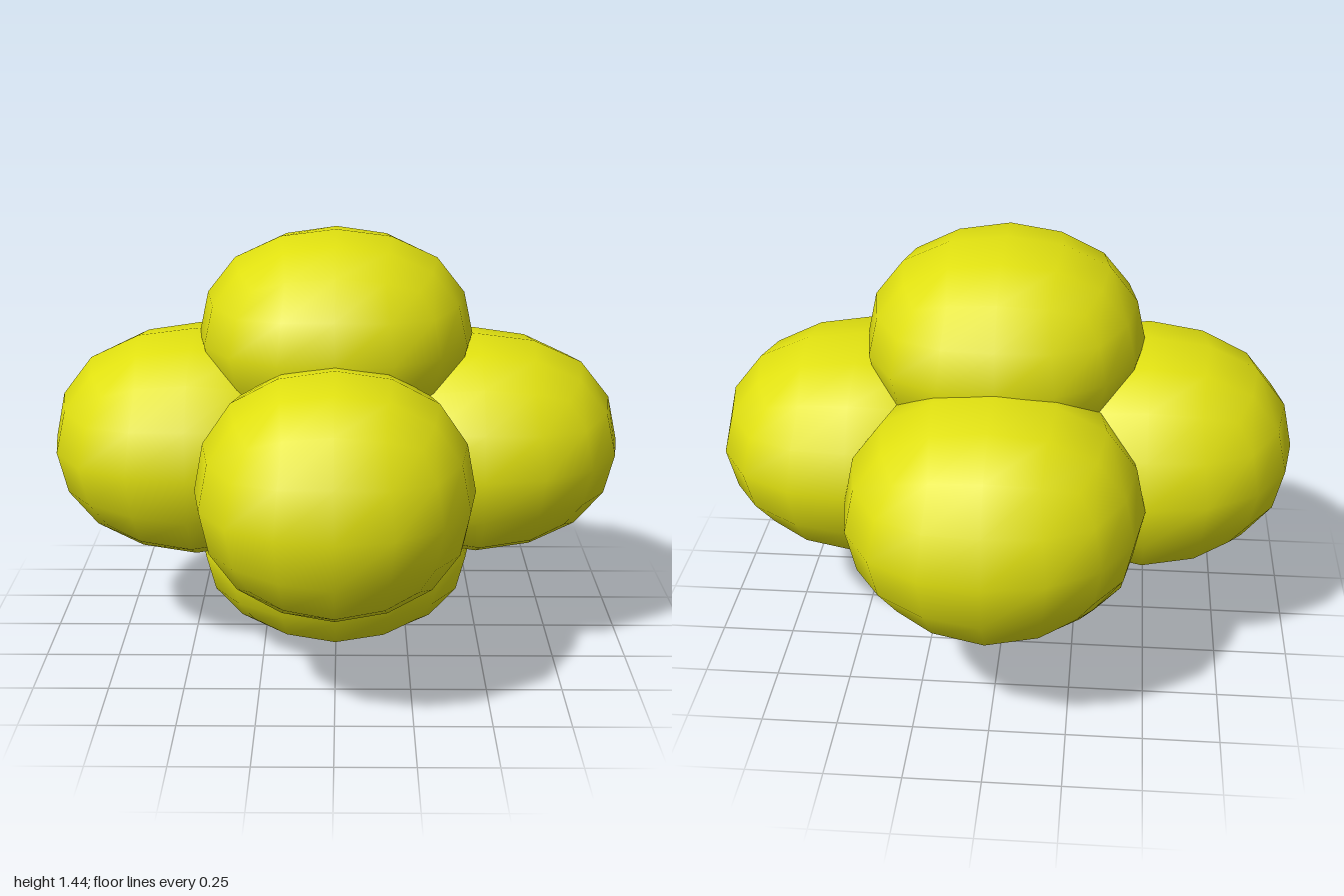
import * as THREE from 'three';
import { mergeVertices } from 'three/addons/utils/BufferGeometryUtils.js';

// Rounded-cube ball: each 4x4 box-grid point, sorted by size, goes to its place on a twice-subdivided cube.
const ROUNDED = {
  '2,0,0': [1, 0, 0],
  '2,1,0': [0.933, 0.399, 0],
  '2,2,0': [0.732, 0.732, 0],
  '2,1,1': [0.87, 0.371, 0.371],
  '2,2,1': [0.682, 0.682, 0.344],
  '2,2,2': [0.58, 0.58, 0.58],
};

function ballGeometry(radii) {
  const box = new THREE.BoxGeometry(4, 4, 4, 4, 4, 4);
  box.deleteAttribute('normal');
  box.deleteAttribute('uv');
  const geometry = mergeVertices(box);
  const pos = geometry.attributes.position;
  for (let i = 0; i < pos.count; i++) {
    const p = [pos.getX(i), pos.getY(i), pos.getZ(i)].map(Math.round);
    const order = [0, 1, 2].sort((a, b) => Math.abs(p[b]) - Math.abs(p[a]));
    const target = ROUNDED[order.map((k) => Math.abs(p[k])).join(',')];
    const out = [0, 0, 0];
    order.forEach((k, n) => { out[k] = Math.sign(p[k]) * target[n] * radii[k]; });
    pos.setXYZ(i, ...out);
  }
  geometry.computeVertexNormals();
  return geometry;
}

export function createModel() {
  const group = new THREE.Group();
  group.name = 'lobedCluster';
  const material = new THREE.MeshStandardMaterial({ color: 0xe0e010 });

  // name, centre, radii
  const lobes = [
    ['topLobe', [0, 1.085, -0.023], [0.465, 0.355, 0.485]],
    ['bottomLobe', [0, 0.34, -0.02], [0.478, 0.338, 0.483]],
    ['frontLobe', [0, 0.711, 0.533], [0.443, 0.391, 0.462]],
    ['backLobe', [0, 0.712, -0.513], [0.48, 0.388, 0.487]],
    ['leftLobe', [0.48, 0.71, -0.024], [0.494, 0.372, 0.487]],
    ['rightLobe', [-0.48, 0.712, -0.024], [0.495, 0.387, 0.487]],
  ];
  for (const [name, centre, radii] of lobes) {
    const lobe = new THREE.Mesh(ballGeometry(radii), material);
    lobe.name = name;
    lobe.position.set(...centre);
    group.add(lobe);
  }
  return group;
}
